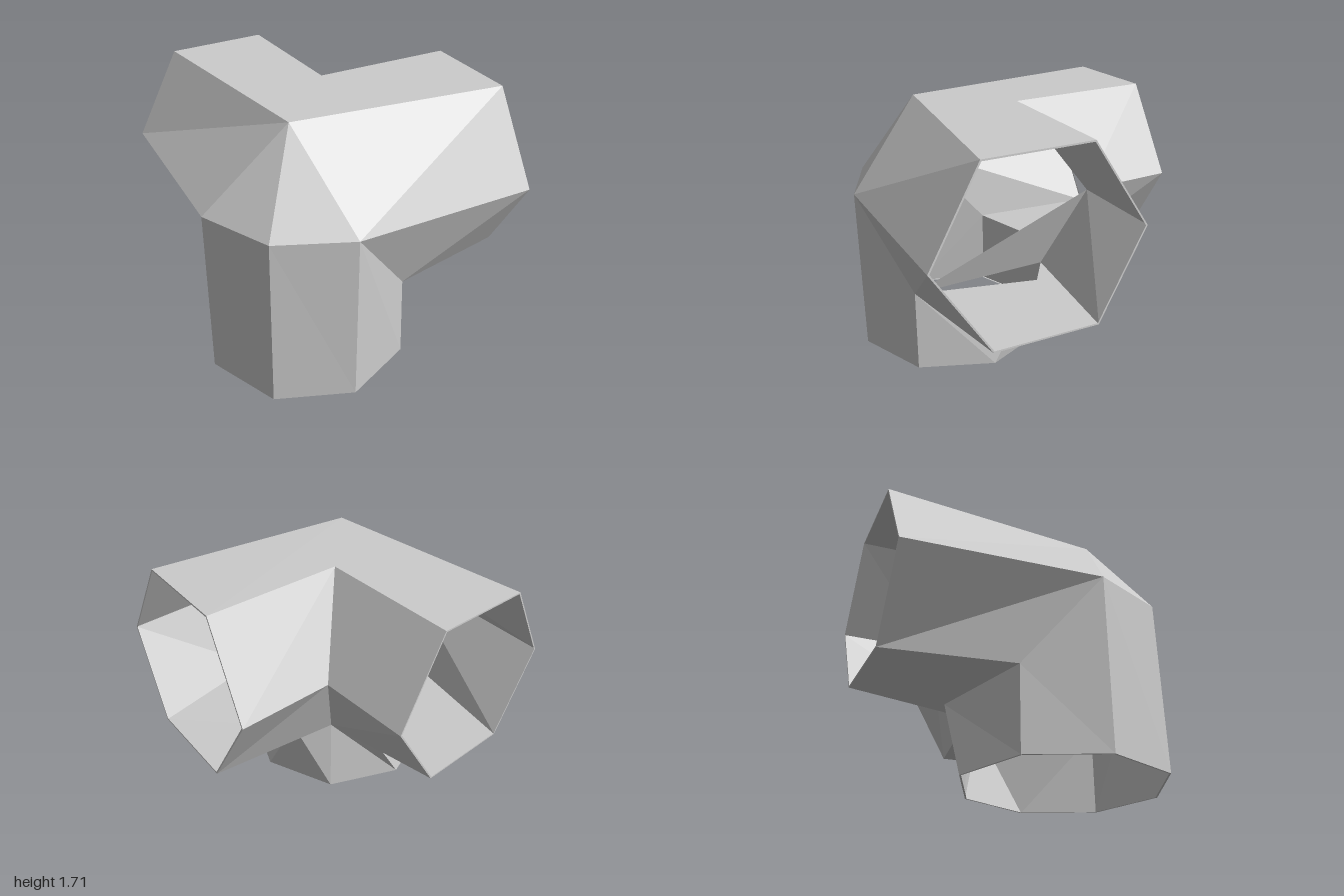
import * as THREE from 'three';

const pale = new THREE.MeshStandardMaterial({ color: 0xcccccc, side: THREE.DoubleSide });
pale.name = 'paleGrey';

// Flat-faced mesh from a list of polygons, each fanned from its first corner
function panels(name, polys) {
  const pos = [];
  for (const p of polys) {
    for (let i = 1; i < p.length - 1; i++) pos.push(...p[0], ...p[i], ...p[i + 1]);
  }
  const geo = new THREE.BufferGeometry();
  geo.setAttribute('position', new THREE.Float32BufferAttribute(pos, 3));
  geo.computeVertexNormals();
  const mesh = new THREE.Mesh(geo, pale);
  mesh.name = name;
  return mesh;
}

// Open tube between a root ring and an end ring; one side may be left out
function tube(name, root, end, skip = -1) {
  const n = root.length, polys = [];
  for (let i = 0; i < n; i++) {
    const j = (i + 1) % n;
    if (i !== skip) polys.push([root[i], end[i], end[j], root[j]]);
  }
  return panels(name, polys);
}

// Narrow lip around an open end
function rim(name, ring) {
  const mid = [0, 1, 2].map((k) => ring.reduce((s, p) => s + p[k], 0) / ring.length);
  const inner = ring.map((p) => p.map((v, k) => v + (mid[k] - v) * 0.018));
  return tube(name, ring, inner);
}

export function createModel() {
  const group = new THREE.Group();

  // Shared corners where the three tubes meet
  const leftSide = [-1, 1.13, 0.32], leftCorner = [-0.79, 1.13, 0.79], frontSide = [-0.33, 1.13, 1];
  const topOuter = [-0.5, 1.69, 0.49], topInner = [0, 1.7, -0.03], crotch = [0.34, 1.14, -0.37];
  const baseInner = [0.13, 0.56, -0.15], baseFront = [0.13, 0.56, 0.79], baseLeft = [-0.79, 0.56, -0.15];
  const floorX = [0.34, 0.56, 0], floorZ = [0, 0.58, -0.36];

  // Downward octagonal tube
  const foot = [];
  for (let i = 0; i < 8; i++) {
    const a = (i * Math.PI) / 4;
    foot.push([-0.33 - 0.67 * Math.cos(a), 0, 0.32 + 0.675 * Math.sin(a)]);
  }
  const footTop = [leftSide, leftCorner, frontSide, baseFront, floorX, baseInner, floorZ, baseLeft];
  group.add(tube('downTube', footTop, foot), rim('downRim', foot));

  // Sideways hexagonal tube
  const sideEnd = [
    [0.91, 1.12, 1], [0.89, 1.7, 0.67], [0.93, 1.71, -0.02],
    [0.98, 1.14, -0.38], [1, 0.56, -0.05], [0.96, 0.55, 0.64],
  ];
  const sideRoot = [frontSide, topOuter, topInner, crotch, baseInner, baseFront];
  group.add(tube('sideTube', sideRoot, sideEnd, 4), rim('sideRim', sideEnd));
  group.add(panels('sideTubeFloor', [[floorX, baseInner, sideEnd[4], sideEnd[5], baseFront]]));

  // Backward hexagonal tube
  const backEnd = [
    [-0.95, 1.14, -0.94], [-0.62, 0.6, -0.96], [0.02, 0.61, -0.99],
    [0.33, 1.14, -1], [0, 1.7, -0.975], [-0.65, 1.69, -0.96],
  ];
  const backRoot = [leftSide, baseLeft, baseInner, crotch, topInner, topOuter];
  group.add(tube('backTube', backRoot, backEnd, 1), rim('backRim', backEnd));
  group.add(panels('backTubeFloor', [[floorZ, baseLeft, backEnd[1], backEnd[2], baseInner]]));

  // Sloping cap over the outer corner, and the web inside the joint
  group.add(panels('cornerCap', [[frontSide, topOuter, leftCorner], [leftCorner, topOuter, leftSide]]));
  group.add(panels('innerWeb', [[crotch, baseFront, baseInner]]));

  return group;
}
